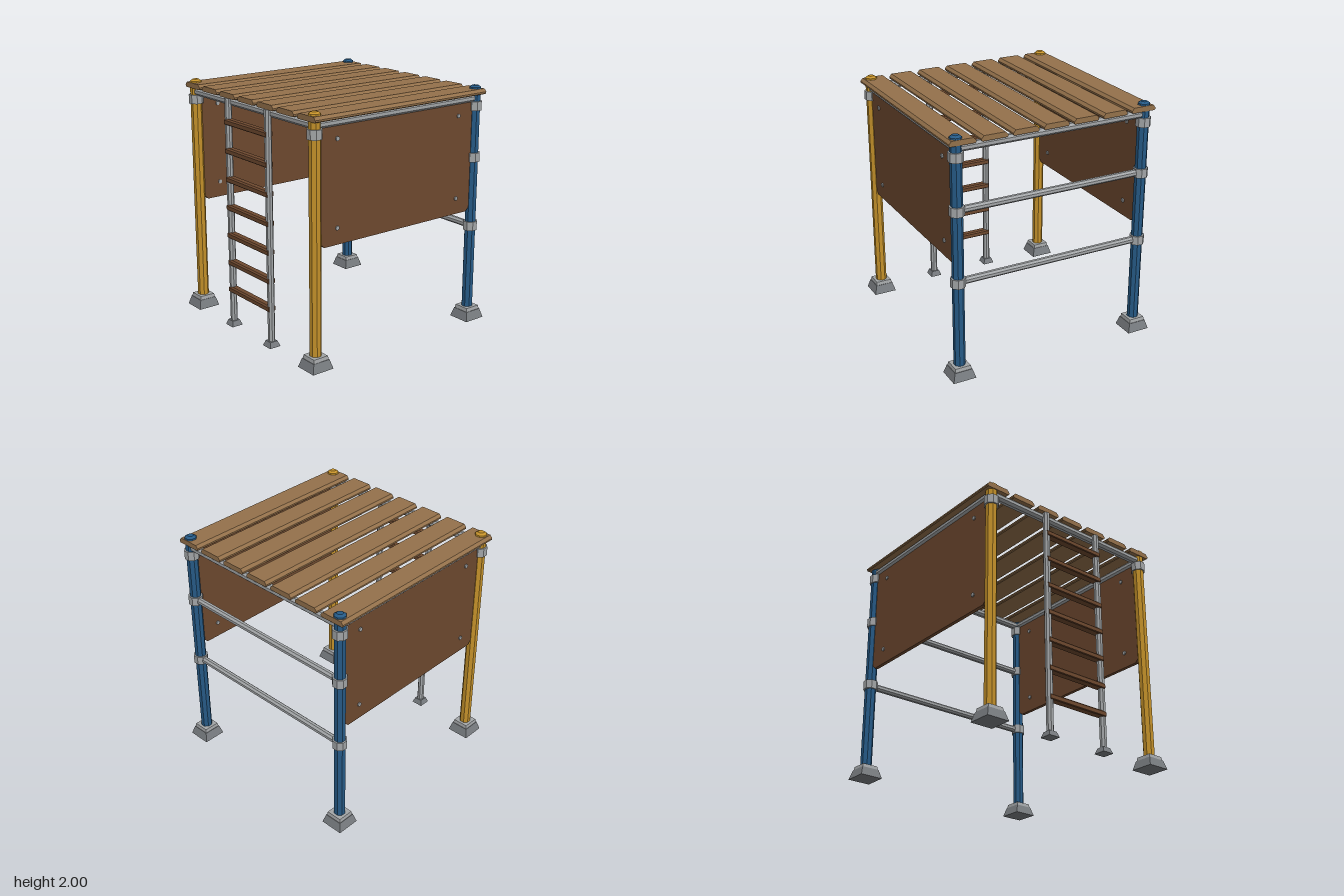
import * as THREE from 'three';

const mat = (name, color) => {
  const m = new THREE.MeshStandardMaterial({ color });
  m.name = name;
  return m;
};

export function createModel() {
  const yellow = mat('yellow paint', 0xc4912a);
  const blue = mat('blue paint', 0x265a86);
  const wood = mat('deck wood', 0x94714b);
  const darkWood = mat('dark wood', 0x6e492f);
  const steel = mat('steel', 0xa3a6a8);
  const footing = mat('footing grey', 0x797d81);
  const model = new THREE.Group();

  // Adds a faceted mesh
  function add(name, geometry, material, x = 0, y = 0, z = 0, parent = model) {
    const g = geometry.index ? geometry.toNonIndexed() : geometry;
    g.computeVertexNormals();
    const mesh = new THREE.Mesh(g, material);
    mesh.name = name;
    mesh.position.set(x, y, z);
    parent.add(mesh);
    return mesh;
  }
  // Prism or frustum whose flat sides face the axes; sizes are half widths
  function prism(top, bottom, height, sides = 8) {
    const k = 1 / Math.cos(Math.PI / sides);
    return new THREE.CylinderGeometry(top * k, bottom * k, height, sides).rotateY(Math.PI / sides);
  }
  // Polygon extruded along z and centred
  function extrude(points, depth) {
    const shape = new THREE.Shape(points.map(([x, y]) => new THREE.Vector2(x, y)));
    return new THREE.ExtrudeGeometry(shape, { depth, bevelEnabled: false }).translate(0, 0, -depth / 2);
  }
  const P = 0.81;

  // Corner posts with caps, footings and clamps
  for (const sx of [-1, 1]) for (const sz of [-1, 1]) {
    const corner = new THREE.Group();
    corner.name = 'cornerPost';
    corner.position.set(sx * P, 0, sz * P);
    model.add(corner);
    const paint = sz > 0 ? yellow : blue;
    add('footing', prism(0.075, 0.097, 0.075, 4), footing, 0, 0.0375, 0, corner);
    add('footingPlate', prism(0.066, 0.071, 0.03, 4), steel, 0, 0.09, 0, corner);
    add('post', prism(0.0435, 0.0435, 1.87), paint, 0, 1.035, 0, corner);
    add('capRim', prism(0.044, 0.046, 0.015), paint, 0, 1.9775, 0, corner);
    add('capTop', prism(0.024, 0.044, 0.015), paint, 0, 1.9925, 0, corner);
    for (const y of sz > 0 ? [1.835] : [0.822, 1.41, 1.835])
      add('clamp', prism(0.056, 0.056, 0.075), steel, 0, y, 0, corner);
  }

  // Top frame and back rails
  const pipe = (r) => prism(r, r, 2 * P);
  for (const s of [-1, 1]) {
    add('topCrossPipe', pipe(0.031).rotateZ(Math.PI / 2), steel, 0, 1.899, s * P);
    add('topSidePipe', pipe(0.031).rotateX(Math.PI / 2), steel, s * P, 1.899, 0);
  }
  for (const y of [0.822, 1.41])
    add('backRail', pipe(0.027).rotateZ(Math.PI / 2), steel, 0, y, -P);

  // Deck planks with bevelled top edges
  const plank = [[-0.108, 0.007], [-0.1, 0], [0.1, 0], [0.108, 0.007], [0.108, 0.02], [0.088, 0.043], [-0.088, 0.043], [-0.108, 0.02]];
  for (let i = -3; i <= 3; i++)
    add('deckPlank', extrude(plank, 1.72), wood, i * 0.259, 1.93, 0);

  // Side panels with bolts on both faces
  const panel = [[-0.735, 0.957], [0.735, 0.957], [0.77, 0.992], [0.77, 1.875], [-0.77, 1.875], [-0.77, 0.992]];
  for (const s of [-1, 1]) {
    add('sidePanel', extrude(panel, 0.03).rotateY(Math.PI / 2), darkWood, s * P);
    for (const z of [-0.615, 0.615]) for (const y of [1.09, 1.775])
      add('panelBolt', prism(0.016, 0.016, 0.05).rotateZ(Math.PI / 2), steel, s * P, y, z);
  }

  // Ladder
  const ladder = new THREE.Group();
  ladder.name = 'ladder';
  ladder.position.z = 0.843;
  model.add(ladder);
  for (const s of [-1, 1]) {
    add('ladderFoot', prism(0.034, 0.05, 0.045, 4), footing, s * 0.272, 0.0225, 0, ladder);
    add('ladderRail', prism(0.027, 0.027, 1.89), steel, s * 0.272, 0.985, 0, ladder);
  }
  const rung = [[-0.033, -0.018], [-0.027, -0.024], [0.027, -0.024], [0.033, -0.018], [0.033, 0.012], [0.022, 0.024], [-0.022, 0.024], [-0.033, 0.012]];
  for (let i = 0; i < 7; i++)
    add('rung', extrude(rung, 0.57).rotateY(Math.PI / 2), darkWood, 0, 0.322 + i * 0.2365, 0, ladder);

  return model;
}
